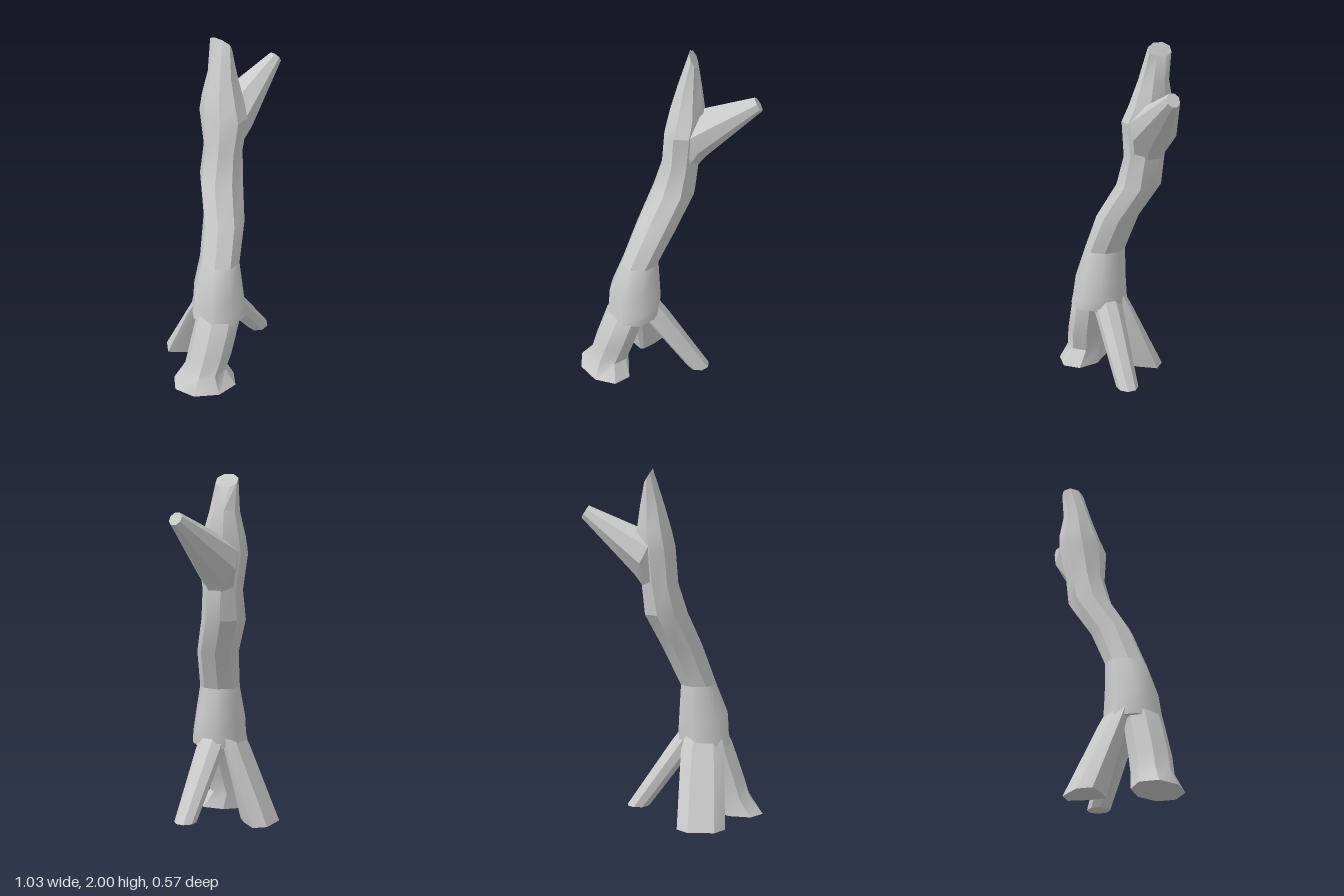
import * as THREE from 'three';
import { toCreasedNormals } from 'three/addons/utils/BufferGeometryUtils.js';

const SIDES = 8;
const material = new THREE.MeshStandardMaterial({ color: 0xcccccc });

// Skin over rings [x, y, z, radiusX, radiusZ, spin, tilt, pinch], listed from lower to upper end.
// Pinch narrows a ring towards +z into a ridge.
// Only the exposed end ('lower' or 'upper') is capped; the other is buried in the trunk.
function loft(name, cap, crease, rings) {
  const pos = [], index = [];
  const fit = 1 / Math.cos(Math.PI / SIDES);
  rings.forEach(([x, y, z, rx, rz, spin = 0, tilt = 0, pinch = 0]) => {
    const turn = new THREE.Euler(0, -spin, tilt, 'ZYX');
    for (let i = 0; i < SIDES; i++) {
      const a = ((i + 0.5) / SIDES) * Math.PI * 2;
      const c = Math.cos(a) * fit, s = -Math.sin(a) * fit;
      const p = new THREE.Vector3(c * rx * (1 - pinch * (1 + s) / 2), 0, s * rz).applyEuler(turn);
      pos.push(x + p.x, y + p.y, z + p.z);
    }
  });
  for (let r = 0; r < rings.length - 1; r++) {
    for (let i = 0; i < SIDES; i++) {
      const a = r * SIDES + i, b = r * SIDES + ((i + 1) % SIDES);
      index.push(a, b, b + SIDES, a, b + SIDES, a + SIDES);
    }
  }
  const last = (rings.length - 1) * SIDES;
  for (let i = 1; i < SIDES - 1; i++) {
    if (cap === 'lower') index.push(0, i + 1, i);
    else index.push(last, last + i, last + i + 1);
  }
  const geo = new THREE.BufferGeometry();
  geo.setAttribute('position', new THREE.Float32BufferAttribute(pos, 3));
  geo.setIndex(index);
  const mesh = new THREE.Mesh(toCreasedNormals(geo, crease), material);
  mesh.name = name;
  return mesh;
}

export function createModel() {
  const tree = new THREE.Group();
  tree.name = 'deadTree';
  tree.add(
    // swollen lower trunk, smooth
    loft('lowerTrunk', 'lower', 0.9, [
      [-0.18, 0.43, 0.09, 0.145, 0.155],
      [-0.17, 0.50, 0.09, 0.145, 0.145],
      [-0.17, 0.60, 0.085, 0.14, 0.135],
      [-0.14, 0.78, 0.07, 0.1, 0.11],
    ]),
    // leaning upper trunk, ending in a flattened branch with a slanted broken tip
    loft('upperTrunk', 'upper', 0.45, [
      [-0.14, 0.78, 0.07, 0.1, 0.11],
      [-0.05, 1.0, 0.03, 0.112, 0.11],
      [0.04, 1.2, -0.06, 0.118, 0.115],
      [0.075, 1.37, -0.075, 0.1, 0.105],
      [0.09, 1.57, -0.085, 0.1, 0.135],
      [0.105, 1.66, -0.1, 0.095, 0.115],
      [0.115, 1.8, -0.11, 0.066, 0.08],
      [0.134, 1.962, -0.135, 0.042, 0.066, 0, -1.0],
    ]),
    // side branch tapering to a stub
    loft('sideBranch', 'upper', 0.45, [
      [0.08, 1.37, -0.08, 0.08, 0.08, 0, -0.4],
      [0.16, 1.535, -0.088, 0.12, 0.13, 0, -1.1],
      [0.49, 1.765, -0.035, 0.038, 0.035, 0, -1.0],
    ]),
    // flared front root
    loft('frontRoot', 'lower', 0.6, [
      [-0.355, 0.015, 0.125, 0.178, 0.125, 0.8],
      [-0.33, 0.11, 0.11, 0.115, 0.105, 0.8],
      [-0.295, 0.22, 0.12, 0.12, 0.105, 0.8],
      [-0.225, 0.43, 0.125, 0.12, 0.1, 0.8],
      [-0.19, 0.53, 0.1, 0.1, 0.09, 0.8],
    ]),
    // broad back root with a ridge on its inner side
    loft('backRoot', 'lower', 0.45, [
      [-0.155, 0, -0.175, 0.18, 0.105, 0, 0, 0.85],
      [-0.165, 0.42, -0.02, 0.15, 0.06, 0, 0, 0.6],
      [-0.17, 0.5, 0.02, 0.12, 0.06, 0, 0, 0.6],
    ]),
    // thin side root, ending just above the ground
    loft('sideRoot', 'lower', 0.45, [
      [0.21, 0.05, 0.09, 0.062, 0.058],
      [-0.06, 0.43, 0.085, 0.075, 0.078],
      [-0.1, 0.49, 0.085, 0.07, 0.075],
    ]),
  );
  return tree;
}
